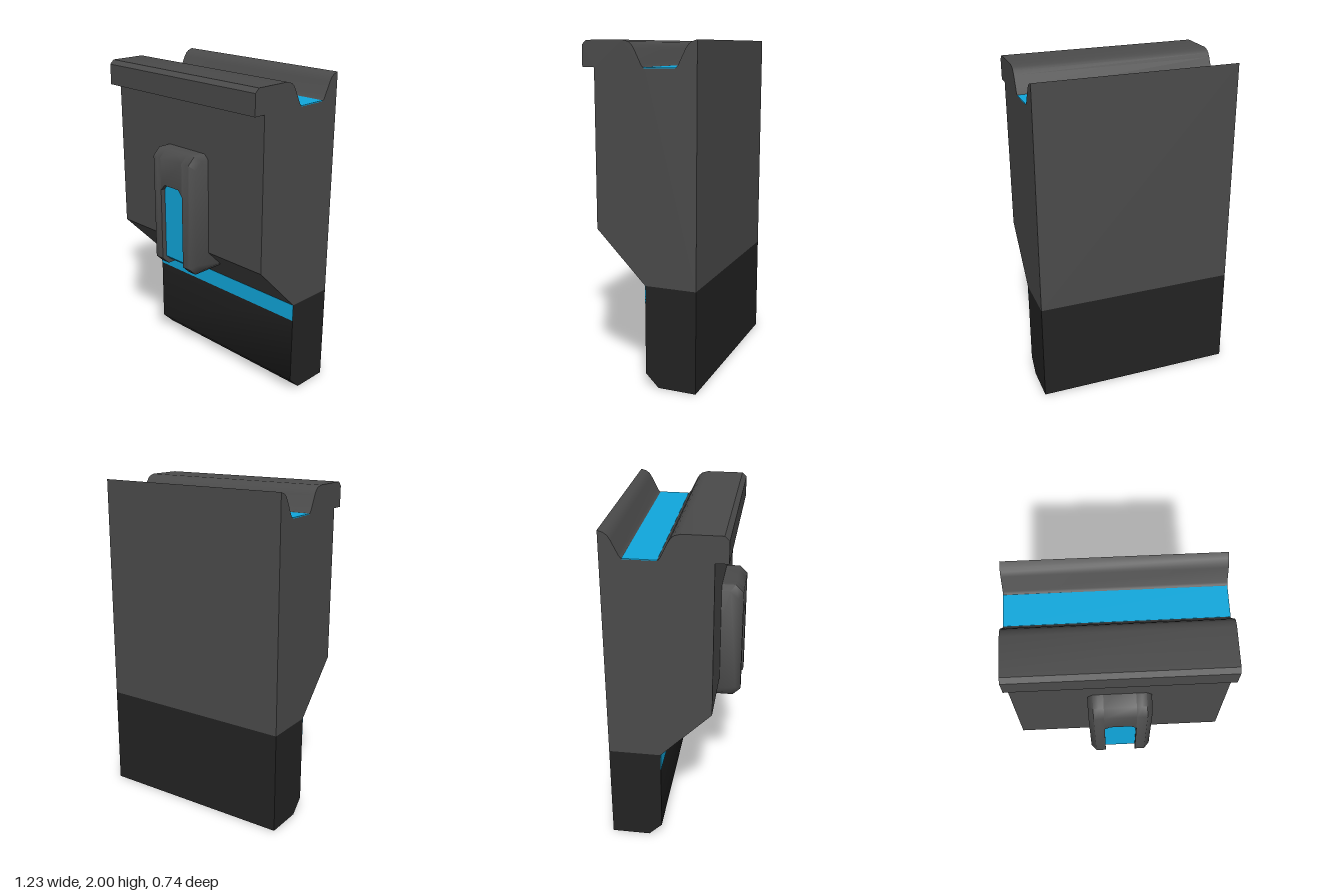
import * as THREE from 'three';
import { toCreasedNormals } from 'three/addons/utils/BufferGeometryUtils.js';

const W = 0.613; // half width

function material(name, color) {
  const m = new THREE.MeshStandardMaterial({ color });
  m.name = name;
  return m;
}

// Extrude a (z, y) profile along x from x0 to x1.
function sideExtrude(points, x0, x1, steps = 1) {
  const shape = new THREE.Shape(points.map(([z, y]) => new THREE.Vector2(z, y)));
  const geo = new THREE.ExtrudeGeometry(shape, { depth: x1 - x0, steps, bevelEnabled: false });
  return geo.rotateY(-Math.PI / 2).translate(x1, 0, 0);
}

export function createModel() {
  const group = new THREE.Group();
  const grey = material('dark grey', 0x4b4b4b);
  const black = material('near black', 0x232323);
  const blue = material('bright blue', 0x10a8de);

  const add = (name, geo, mat, crease = 0.3) => {
    const mesh = new THREE.Mesh(toCreasedNormals(geo, crease), mat);
    mesh.name = name;
    group.add(mesh);
  };

  // Main body with a grooved top, a front lip and a sloping underside
  add('body', sideExtrude([
    [-0.372, 0.615], [-0.06, 0.615], [0.243, 0.925], [0.243, 1.85], [0.317, 1.85],
    [0.317, 1.975], [0.29, 2], [0.065, 2], [0.03, 1.99], [0.012, 1.975], [-0.003, 1.952],
    [-0.045, 1.866], [-0.053, 1.855], [-0.065, 1.848], [-0.24, 1.848], [-0.253, 1.855],
    [-0.262, 1.866], [-0.305, 1.952], [-0.32, 1.975], [-0.34, 1.99], [-0.372, 2],
  ], -W, W), grey, 0.6);

  // Lower block with a chamfered front foot
  add('base', sideExtrude([
    [-0.372, 0], [-0.14, 0], [-0.06, 0.08], [-0.06, 0.615], [-0.372, 0.615],
  ], -W, W), black, 0.8);

  // Blue plates in the groove and across the base
  add('grooveStrip', new THREE.BoxGeometry(2 * W, 0.006, 0.187).translate(0, 1.85, -0.1535), blue);
  add('frontStrip', new THREE.BoxGeometry(2 * W, 0.108, 0.006).translate(0, 0.563, -0.06), blue);

  // Clip legs, with the outermost section drawn in to form a chamfer
  const clipProfile = [
    [0.1, 0.795], [0.325, 0.795], [0.372, 0.84], [0.372, 1.495], [0.325, 1.542], [0.1, 1.542],
  ];
  const midY = 1.168;
  for (const side of [-1, 1]) {
    const geo = side > 0 ? sideExtrude(clipProfile, 0.093, 0.183, 3) : sideExtrude(clipProfile, -0.183, -0.093, 3);
    const p = geo.attributes.position;
    for (let i = 0; i < p.count; i++) {
      if (Math.abs(p.getX(i)) < 0.175) continue;
      p.setY(i, midY + (p.getY(i) - midY) * 0.92);
      if (p.getZ(i) > 0.2) p.setZ(i, p.getZ(i) - 0.03);
    }
    add(side > 0 ? 'clipLegLeft' : 'clipLegRight', geo, grey, 0.8);

    // Angled upper corner of the slot
    const corner = new THREE.Shape([[0.093, 1.328], [0.06, 1.328], [0.093, 1.292]]
      .map(([x, y]) => new THREE.Vector2(side * x, y)));
    add(side > 0 ? 'slotCornerLeft' : 'slotCornerRight',
      new THREE.ExtrudeGeometry(corner, { depth: 0.172, bevelEnabled: false }).translate(0, 0, 0.2), grey);
  }

  // Bridge over the slot
  add('clipBridge', sideExtrude([
    [0.1, 1.328], [0.372, 1.328], [0.372, 1.495], [0.325, 1.542], [0.1, 1.542],
  ], -0.093, 0.093), grey, 0.8);

  // Recessed blue insert in the slot
  add('clipInsert', sideExtrude([
    [0.1, 0.824], [0.315, 0.824], [0.342, 0.85], [0.342, 1.4], [0.1, 1.4],
  ], -0.093, 0.093), blue, 0.8);

  return group;
}
